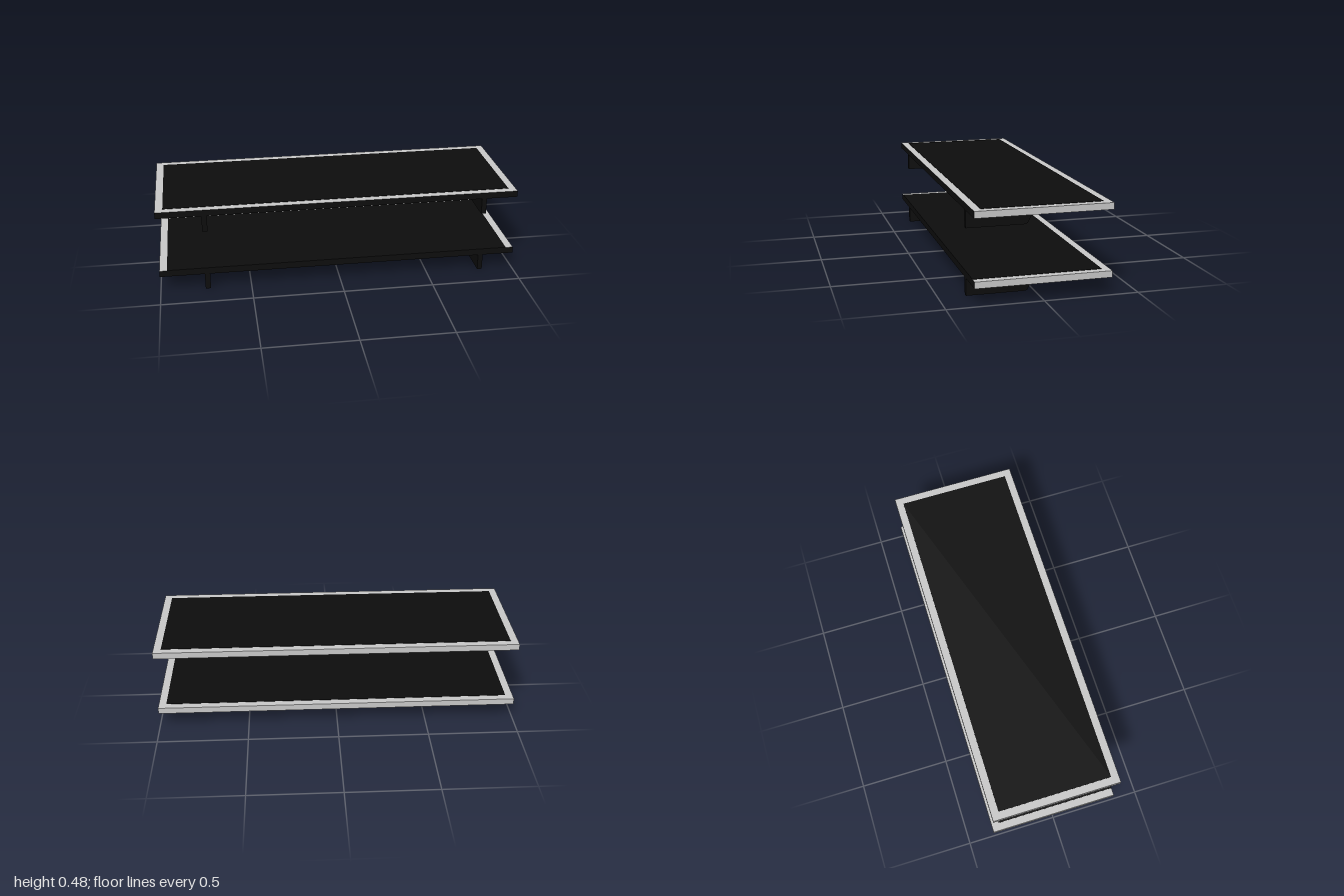
import * as THREE from 'three';

const HALF_DEPTH = 0.357, THICK = 0.035, BRACKET_HEIGHT = 0.092, BORDER = 0.042;

export function createModel() {
  const black = new THREE.MeshStandardMaterial({ color: 0x0d0d0d });
  black.name = 'black panel';
  const grey = new THREE.MeshStandardMaterial({ color: 0xcacaca });
  grey.name = 'light grey edging';

  function addMesh(parent, name, geometry, material, x, y, z) {
    const mesh = new THREE.Mesh(geometry, material);
    mesh.name = name;
    mesh.position.set(x, y, z);
    parent.add(mesh);
  }

  // Bracket outline as (z, y), with a stepped curved underside
  const outline = [
    [0.355, 0], [0.045, 0], [0.034, 0.007], [0.018, 0.04], [0, 0.049], [-0.08, 0.049],
    [-0.105, 0.056], [-0.13, 0.07], [-0.153, BRACKET_HEIGHT], [0.355, BRACKET_HEIGHT],
  ].map(([z, y]) => new THREE.Vector2(z, y));

  function addBracket(parent, name, x, width) {
    const bracket = new THREE.Group();
    bracket.name = name;
    bracket.position.x = x;
    const body = new THREE.ExtrudeGeometry(new THREE.Shape(outline), { depth: width, bevelEnabled: false });
    body.rotateY(-Math.PI / 2);
    // Black flanks, grey cut edge
    addMesh(bracket, 'bracketBody', body, [black, grey], width / 2, 0, 0);
    addMesh(bracket, 'bracketFront', new THREE.BoxGeometry(width, BRACKET_HEIGHT, 0.002),
      black, 0, BRACKET_HEIGHT / 2, HALF_DEPTH - 0.001);
    parent.add(bracket);
  }

  // One shelf: board, black top inlay and two brackets
  function makeShelf(name, y, frontBorder) {
    const shelf = new THREE.Group();
    shelf.name = name;
    shelf.position.y = y;
    addMesh(shelf, 'board', new THREE.BoxGeometry(2, THICK, HALF_DEPTH * 2),
      [grey, grey, grey, black, black, grey], 0, BRACKET_HEIGHT + THICK / 2, 0);
    const back = -HALF_DEPTH + BORDER, front = HALF_DEPTH - frontBorder;
    addMesh(shelf, 'topInlay', new THREE.BoxGeometry(2 - BORDER * 2, 0.002, front - back),
      black, 0, BRACKET_HEIGHT + THICK + 0.001, (front + back) / 2);
    addBracket(shelf, 'rightBracket', -0.74, 0.029);
    addBracket(shelf, 'leftBracket', 0.811, 0.027);
    return shelf;
  }

  const model = new THREE.Group();
  model.name = 'shelves';
  model.add(makeShelf('lowerShelf', 0, 0), makeShelf('upperShelf', 0.351, BORDER));
  return model;
}
